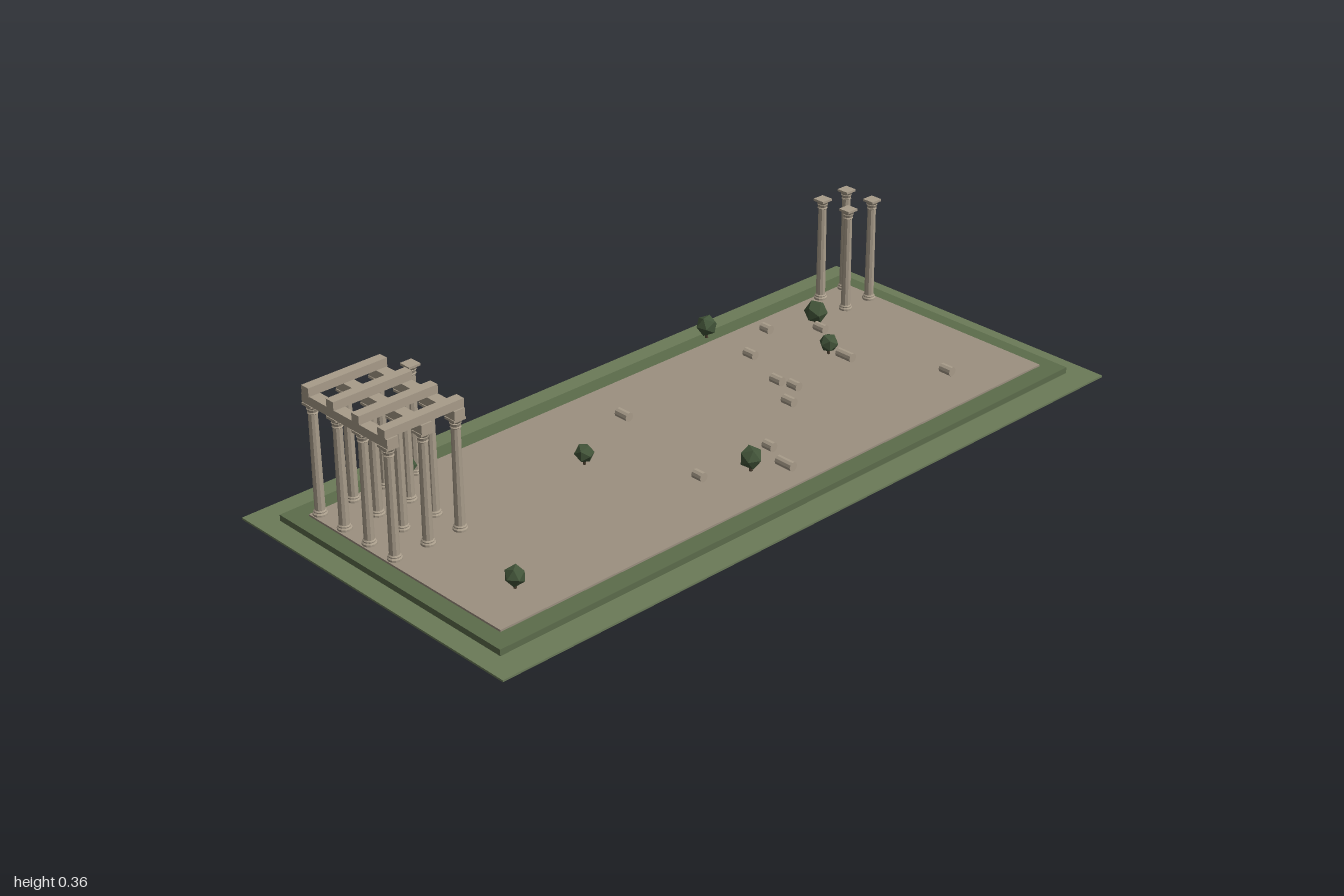
import * as THREE from 'three';

const mat = (color) => new THREE.MeshStandardMaterial({ color, flatShading: true });

export function createModel() {
  const model = new THREE.Group();
  const stone = mat(0xa89c8a), paving = mat(0x9c9080), grass = mat(0x6b7a58);
  const bank = mat(0x5c6c4b), leaf = mat(0x43553a), wood = mat(0x4a3f30);

  const add = (parent, name, geometry, material, x, y, z) => {
    const mesh = new THREE.Mesh(geometry, material);
    mesh.name = name;
    mesh.position.set(x, y, z);
    parent.add(mesh);
    return mesh;
  };
  // Box given by its width, bottom, top and depth
  const slab = (parent, name, material, w, y0, y1, d, x = 0, z = 0) =>
    add(parent, name, new THREE.BoxGeometry(w, y1 - y0, d), material, x, (y0 + y1) / 2, z);

  // Stepped ground and temple platform
  slab(model, 'lawn', grass, 0.93, 0.001, 0.006, 2);
  slab(model, 'grassBank', bank, 0.784, 0.002, 0.022, 1.89);
  slab(model, 'platform', paving, 0.68, 0, 0.027, 1.8);

  // Column: moulded base, tapering shaft, flaring capital, square abacus
  const floor = 0.027, top = 0.317;
  const lathe = (points, sides) =>
    new THREE.LatheGeometry(points.map(([r, y]) => new THREE.Vector2(r, y)), sides);
  const baseGeo = lathe([[0, 0], [0.018, 0], [0.018, 0.005], [0.015, 0.008], [0.0155, 0.011], [0.0125, 0.014], [0, 0.014]], 12);
  const shaftGeo = new THREE.CylinderGeometry(0.0112, 0.0128, 0.252, 10);
  const capitalGeo = lathe([[0, 0], [0.0112, 0], [0.0135, 0.002], [0.0115, 0.005], [0.0145, 0.013], [0.013, 0.014], [0.0175, 0.021], [0, 0.021]], 12);
  const abacusGeo = new THREE.BoxGeometry(0.034, 0.006, 0.034);
  const column = (x, z) => {
    const group = new THREE.Group();
    group.name = 'column';
    group.position.set(x, 0, z);
    add(group, 'base', baseGeo, stone, 0, floor, 0);
    add(group, 'shaft', shaftGeo, stone, 0, floor + 0.138, 0);
    add(group, 'capital', capitalGeo, stone, 0, top - 0.027, 0);
    add(group, 'abacus', abacusGeo, stone, 0, top - 0.003, 0);
    model.add(group);
  };

  const xs = [-0.323, -0.231, -0.139, -0.047], zs = [0.88, 0.785, 0.692];
  for (const x of xs) for (const z of zs) column(x, z);
  column(xs[0], 0.6);
  for (const x of xs.slice(0, 2)) for (const z of [-0.785, -0.877]) column(x, z);

  // Crossed beams over the standing corner
  for (const z of zs) slab(model, 'crossBeam', stone, 0.311, top, 0.34, 0.03, -0.185, z);
  for (const x of xs) slab(model, 'upperBeam', stone, 0.026, 0.34, 0.362, 0.222, x, 0.786);

  // Fallen column drums: x, z, length
  const drums = [
    [0.21, -0.69, 0.035], [-0.18, -0.635, 0.035], [-0.275, -0.53, 0.03], [-0.025, -0.565, 0.05],
    [-0.2, -0.395, 0.035], [-0.05, -0.34, 0.035], [0, -0.35, 0.033], [0.05, -0.28, 0.035],
    [0.178, -0.08, 0.03], [0.267, -0.045, 0.05], [-0.18, 0.065, 0.04], [0.167, 0.143, 0.03],
  ];
  for (const [x, z, length] of drums) {
    const drum = add(model, 'fallenDrum', new THREE.CylinderGeometry(0.0125, 0.0125, length, 10), stone, x, floor + 0.0122, z);
    drum.rotation.z = Math.PI / 2;
  }

  // Shrubs: x, z, radius, ground height
  const shrubs = [
    [-0.217, -0.655, 0.032, floor], [-0.077, -0.557, 0.026, floor], [-0.37, -0.403, 0.029, 0.022],
    [0.22, 0.025, 0.03, floor], [-0.077, 0.287, 0.025, floor], [-0.31, 0.65, 0.036, floor],
    [0.233, 0.767, 0.026, floor],
  ];
  shrubs.forEach(([x, z, r, y], i) => {
    const group = new THREE.Group();
    group.name = 'shrub';
    group.position.set(x, y, z);
    add(group, 'stem', new THREE.CylinderGeometry(r * 0.12, r * 0.16, r, 6), wood, 0, r * 0.5, 0);
    const crown = add(group, 'crown', new THREE.IcosahedronGeometry(r, 0), leaf, 0, r * 1.22, 0);
    crown.rotation.y = i * 0.9;
    model.add(group);
  });

  return model;
}
